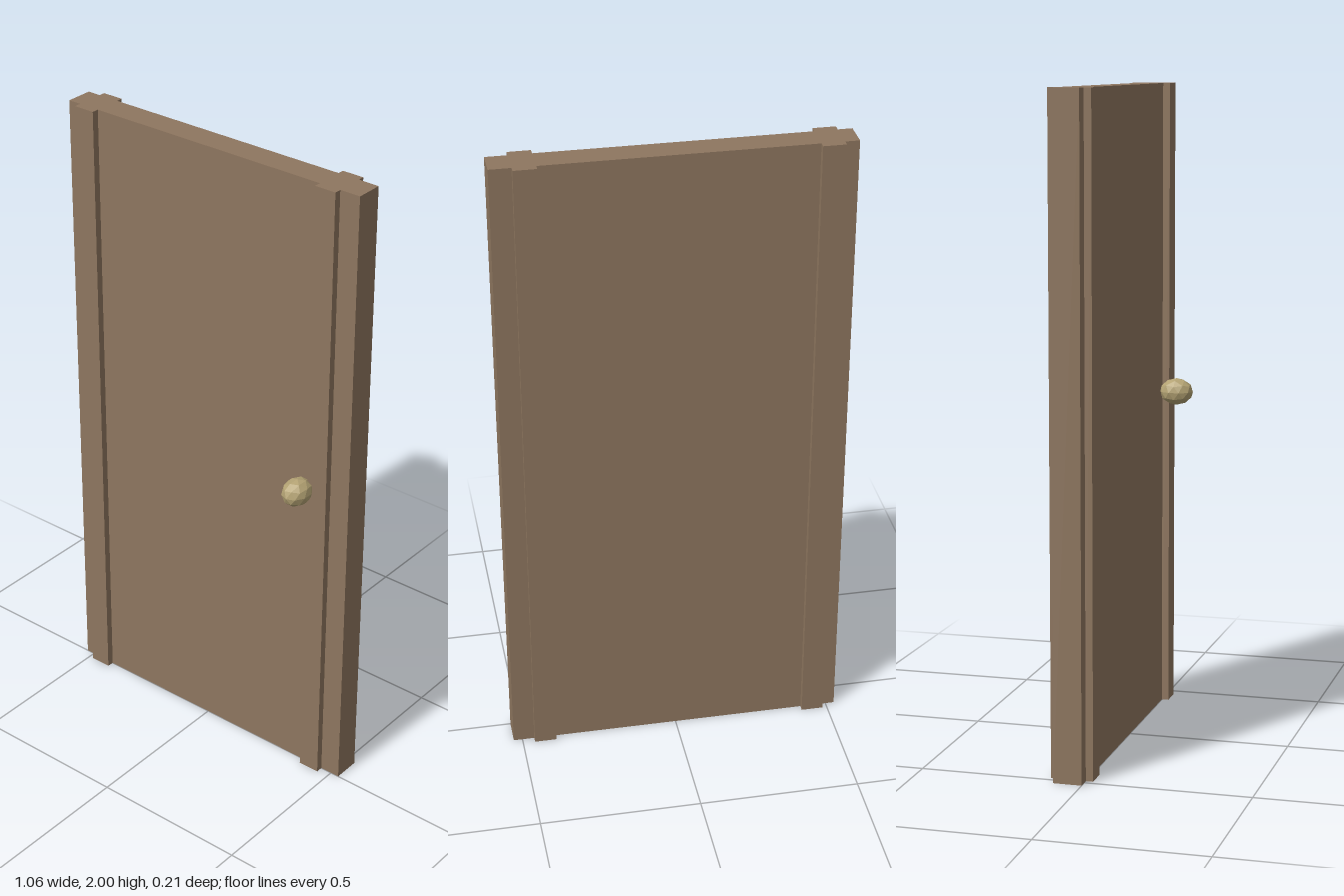
import * as THREE from 'three';

export function createModel() {
  const group = new THREE.Group();
  const wood = new THREE.MeshStandardMaterial({ color: 0x8e765f, flatShading: true });
  wood.name = 'brown wood';
  const brass = new THREE.MeshStandardMaterial({ color: 0xb3a273, flatShading: true });
  brass.name = 'pale brass';

  // Box given by its x and z limits, running the full height of the door
  const board = (name, x0, x1, z0, z1) => {
    const mesh = new THREE.Mesh(new THREE.BoxGeometry(x1 - x0, 2, z1 - z0), wood);
    mesh.position.set((x0 + x1) / 2, 1, (z0 + z1) / 2);
    mesh.name = name;
    group.add(mesh);
  };

  // Door slab
  const back = -0.086, front = 0;
  board('doorPanel', -0.528, 0.528, back, front);

  // Raised vertical strips on both faces
  for (const [side, x0, x1] of [['right', -0.485, -0.416], ['left', 0.393, 0.462]]) {
    board(side + 'FrontStrip', x0, x1, front, 0.022);
    board(side + 'BackStrip', x0, x1, -0.106, back);
  }

  // Faceted knob, slightly stretched outwards, with a vertex pointing up
  const knobShape = new THREE.IcosahedronGeometry(1, 1);
  knobShape.rotateZ(Math.atan(2 / (1 + Math.sqrt(5))));
  knobShape.scale(0.043, 0.043, 0.054);
  const knob = new THREE.Mesh(knobShape, brass);
  knob.position.set(0.378, 1.025, 0.05);
  knob.name = 'doorKnob';
  group.add(knob);

  return group;
}
